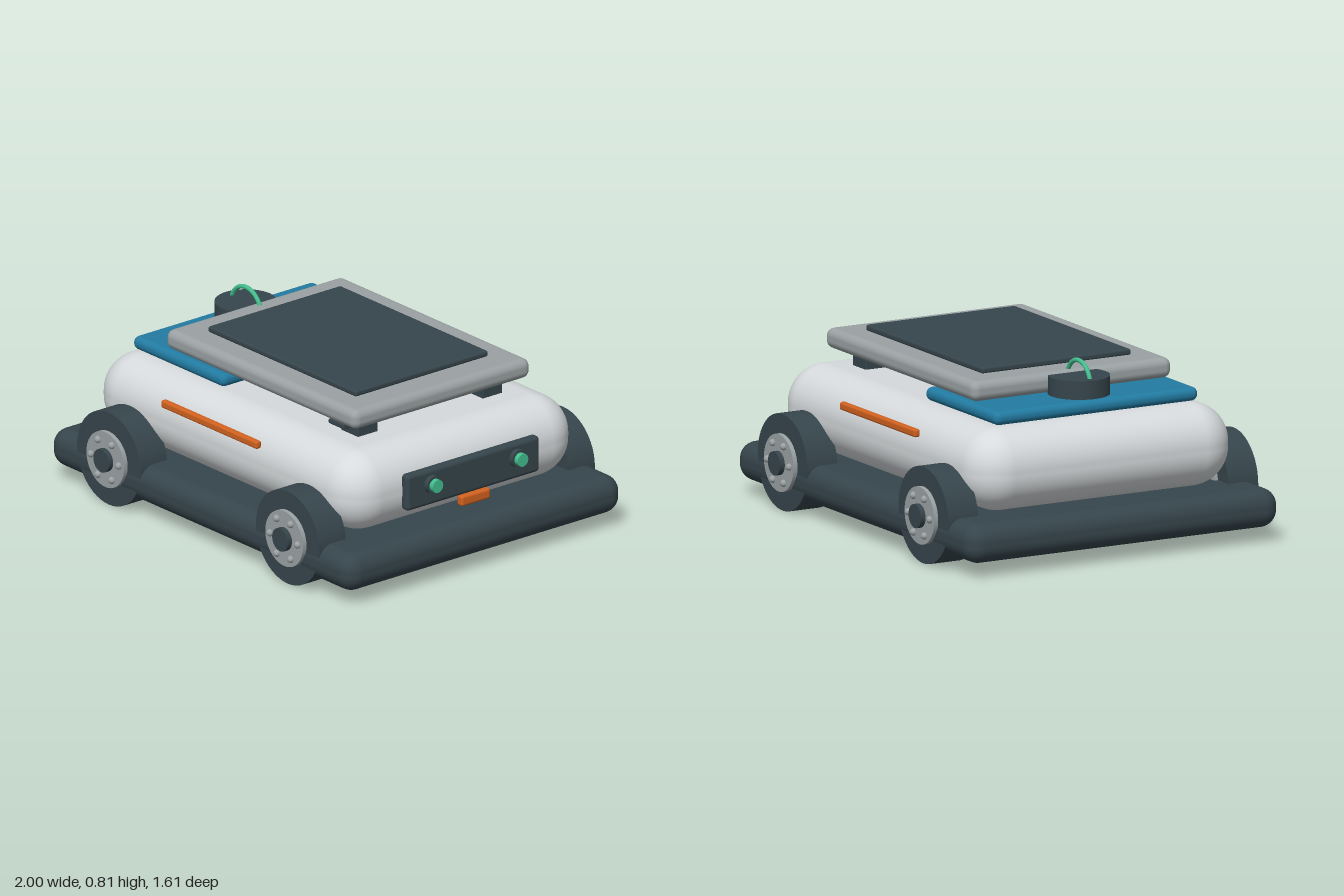
import * as THREE from 'three';
import { RoundedBoxGeometry } from 'three/addons/geometries/RoundedBoxGeometry.js';

const mat = (name, color) => {
  const m = new THREE.MeshStandardMaterial({ color });
  m.name = name;
  return m;
};

export function createModel() {
  const shell = mat('shell white', 0xd6dadc);
  const grey = mat('metal grey', 0x9ba2a4);
  const dark = mat('dark slate', 0x36454c);
  const blue = mat('blue', 0x227ba2);
  const orange = mat('orange', 0xd2621f);
  const green = mat('green', 0x43bf8f);

  const model = new THREE.Group();
  model.name = 'rover';

  const add = (name, geo, material, x, y, z, parent = model) => {
    const mesh = new THREE.Mesh(geo, material);
    mesh.name = name;
    mesh.position.set(x, y, z);
    parent.add(mesh);
    return mesh;
  };
  // Rounded box given by its limits on each axis
  const box = (name, material, [x0, x1], [y0, y1], [z0, z1], r, seg = 4) =>
    add(name, new RoundedBoxGeometry(x1 - x0, y1 - y0, z1 - z0, seg, r), material,
      (x0 + x1) / 2, (y0 + y1) / 2, (z0 + z1) / 2);

  // Bumper base and body
  box('base', dark, [-1, 1], [0.06, 0.23], [-0.765, 0.765], 0.075, 6);
  box('body', shell, [-0.877, 0.877], [0.225, 0.587], [-0.642, 0.642], 0.17, 10);

  // Stacked deck on the roof
  box('rearDeck', blue, [-0.755, -0.15], [0.595, 0.655], [-0.5, 0.5], 0.028);
  box('lid', grey, [-0.55, 0.71], [0.657, 0.745], [-0.49, 0.49], 0.035);
  box('lidPanel', dark, [-0.41, 0.57], [0.742, 0.77], [-0.367, 0.367], 0.01);

  // Lid supports
  for (const s of [1, -1]) {
    const z = [s * 0.345 - 0.055, s * 0.345 + 0.055];
    box('lidSupport', dark, [0.512, 0.625], [0.57, 0.67], z, 0.006, 2);
  }
  // Latch beside the left support
  box('latch', dark, [0.475, 0.577], [0.615, 0.637], [0.39, 0.44], 0.006, 2);
  box('latchTab', orange, [0.49, 0.572], [0.637, 0.66], [0.39, 0.435], 0.006, 2);

  // Rear pod with ring handle
  add('pod', new THREE.CylinderGeometry(0.133, 0.133, 0.085, 40), dark, -0.597, 0.693, 0);
  add('podRing', new THREE.TorusGeometry(0.1, 0.01, 10, 48), green, -0.595, 0.698, 0);

  // Side strips
  for (const s of [1, -1]) {
    const z = [s * 0.655 - 0.015, s * 0.655 + 0.015];
    box('sideStrip', orange, [-0.36, 0.275], [0.49, 0.525], z, 0.01);
  }

  // Sensor face on the +x end
  box('sensorPlate', dark, [0.865, 0.913], [0.322, 0.485], [-0.367, 0.367], 0.018);
  box('sensorTab', orange, [0.893, 0.93], [0.277, 0.325], [-0.08, 0.08], 0.012);
  for (const s of [1, -1]) {
    const rim = new THREE.CylinderGeometry(0.04, 0.04, 0.04, 24).rotateZ(Math.PI / 2);
    const lens = new THREE.CylinderGeometry(0.029, 0.029, 0.05, 24).rotateZ(Math.PI / 2);
    add('lampRim', rim, dark, 0.915, 0.42, s * 0.235);
    add('lampLens', lens, green, 0.932, 0.42, s * 0.235);
  }

  // Wheels: tyre, hub, axle cap and six bolts
  const disc = (r, w, n) => new THREE.CylinderGeometry(r, r, w, n).rotateX(Math.PI / 2);
  const tyreGeo = disc(0.21, 0.147, 48);
  const hubGeo = disc(0.125, 0.186, 40);
  const capGeo = disc(0.052, 0.232, 24);
  const boltGeo = new THREE.SphereGeometry(0.016, 12, 8);
  for (const x of [-0.592, 0.592]) {
    for (const s of [1, -1]) {
      const wheel = new THREE.Group();
      wheel.name = 'wheel';
      wheel.position.set(x, 0.21, s * 0.688);
      model.add(wheel);
      add('tyre', tyreGeo, dark, 0, 0, 0, wheel);
      add('hub', hubGeo, grey, 0, 0, 0, wheel);
      add('axleCap', capGeo, dark, 0, 0, 0, wheel);
      for (let i = 0; i < 6; i++) {
        const a = (i * Math.PI) / 3;
        add('bolt', boltGeo, grey, 0.092 * Math.cos(a), 0.092 * Math.sin(a), s * 0.095, wheel);
      }
    }
  }
  return model;
}
